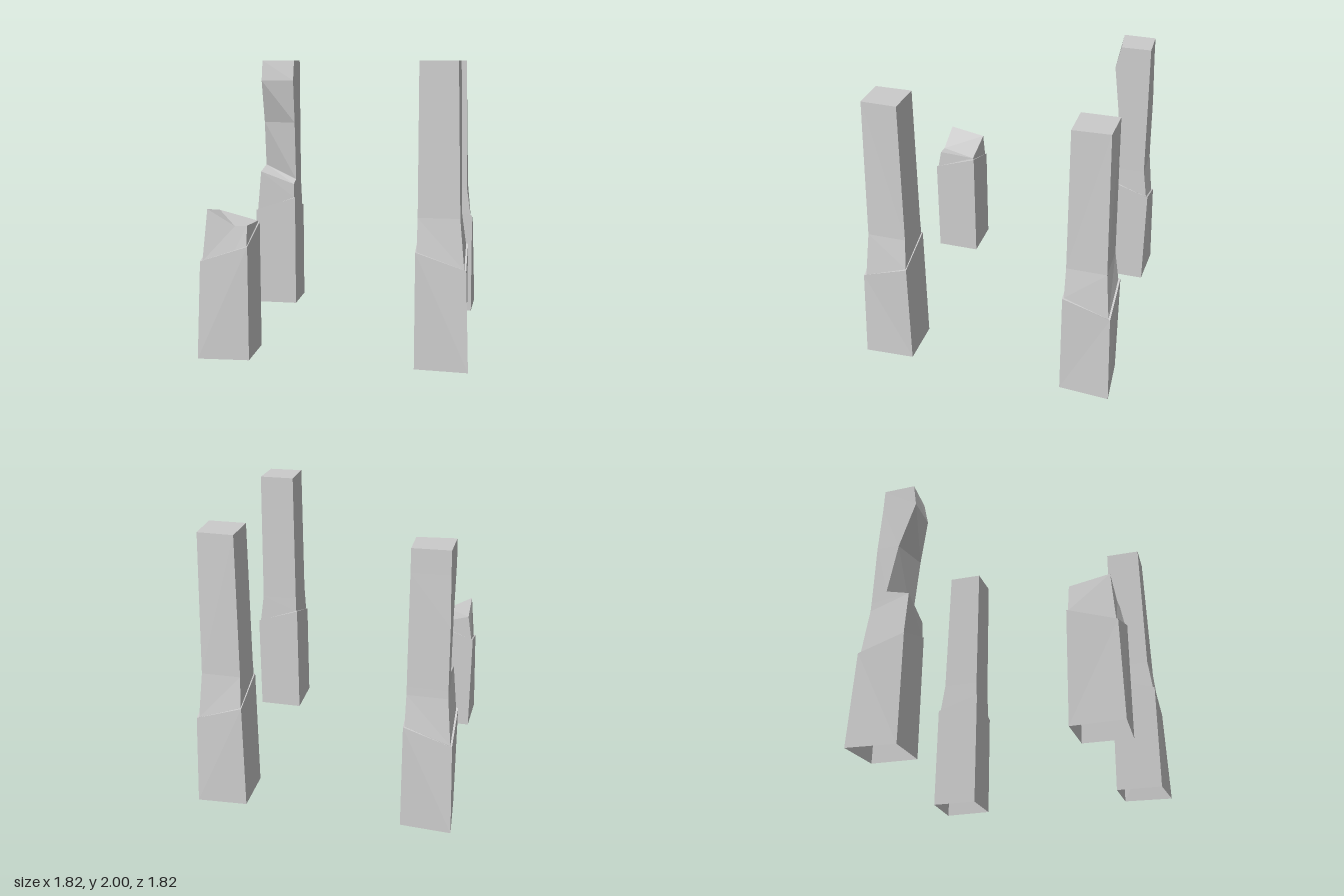
import * as THREE from 'three';

const material = new THREE.MeshStandardMaterial({ color: 0xcccccc, flatShading: true, side: THREE.DoubleSide });

// Lofts rings of [x, y, z] points, mirrored into the quadrant sx, sz.
// capFrom is the ring point from which the top is fanned; null leaves it open.
function loft(name, rings, sx, sz, capFrom = null) {
  const pos = [];
  const flip = sx * sz < 0;
  const tri = (a, b, c) => {
    for (const p of flip ? [a, c, b] : [a, b, c]) pos.push(p[0] * sx, p[1], p[2] * sz);
  };
  const n = rings[0].length;
  for (let r = 0; r < rings.length - 1; r++) {
    const lo = rings[r], hi = rings[r + 1];
    for (let i = 0; i < n; i++) {
      const j = (i + 1) % n;
      tri(lo[i], hi[j], lo[j]);
      tri(lo[i], hi[i], hi[j]);
    }
  }
  if (capFrom !== null) {
    const top = rings[rings.length - 1];
    for (let k = 1; k < n - 1; k++) tri(top[capFrom], top[(capFrom + k + 1) % n], top[(capFrom + k) % n]);
  }
  const geo = new THREE.BufferGeometry();
  geo.setAttribute('position', new THREE.Float32BufferAttribute(pos, 3));
  geo.computeVertexNormals();
  const mesh = new THREE.Mesh(geo, material);
  mesh.name = name;
  return mesh;
}

// Corner order: inner, outer x, outer corner, outer z
const ring = (i, o, y, corner = o) => {
  const [a, b, c, d] = Array.isArray(y) ? y : [y, y, y, y];
  return [[i, a, i], [o, b, i], [corner, c, corner], [i, d, o]];
};

const rimY = [0.89, 0.78, 0.67, 0.78];
const foot = ring(0.565, 0.872, rimY);
const shoulder = ring(0.567, 0.84, 1.0);
const head = ring(0.565, 0.82, 2, 0.812);

// Hollow flared base with a slanted rim and a thin ledge
const baseRings = [ring(0.557, 0.89, 0, 0.91), ring(0.557, 0.885, rimY), foot];

// Replaces the two inner-z corners of a ring
const carve = (r, p0, p1) => [p0, p1, r[2], r[3]];

const wholeRings = [foot, shoulder, head];

// Shaft with a deep notch hewn out of its front
const notchedRings = [
  foot,
  carve(shoulder, [0.567, 1.0, 0.567], [0.84, 1.1, 0.56]),
  carve(ring(0.567, 0.838, 1.06), [0.567, 1.03, 0.65], [0.838, 1.14, 0.73]),
  carve(ring(0.566, 0.83, 1.5), [0.566, 1.5, 0.61], [0.83, 1.5, 0.665]),
  carve(ring(0.566, 0.823, 1.84, 0.816), [0.566, 1.84, 0.568], [0.823, 1.84, 0.555]),
  carve(head, [0.565, 2, 0.605], [0.82, 2, 0.58]),
];

// Broken stump with a valley on its front edge
const stumpRings = [
  [...foot.slice(0, 3), [0.65, 0.75, 0.872], foot[3]],
  [[0.567, 0.9, 0.567], [0.84, 0.97, 0.567], [0.84, 1.02, 0.84], [0.65, 0.91, 0.845], [0.567, 0.915, 0.845]],
];

export function createModel() {
  const model = new THREE.Group();
  model.name = 'ruinedPillars';
  const pillars = [
    ['frontLeftPillar', 1, 1, wholeRings, 0],
    ['backLeftPillar', 1, -1, wholeRings, 0],
    ['backRightNotchedPillar', -1, -1, notchedRings, 0],
    ['frontRightBrokenPillar', -1, 1, stumpRings, 3],
  ];
  for (const [name, sx, sz, rings, capFrom] of pillars) {
    const pillar = new THREE.Group();
    pillar.name = name;
    pillar.add(loft('base', baseRings, sx, sz), loft('shaft', rings, sx, sz, capFrom));
    model.add(pillar);
  }
  return model;
}
